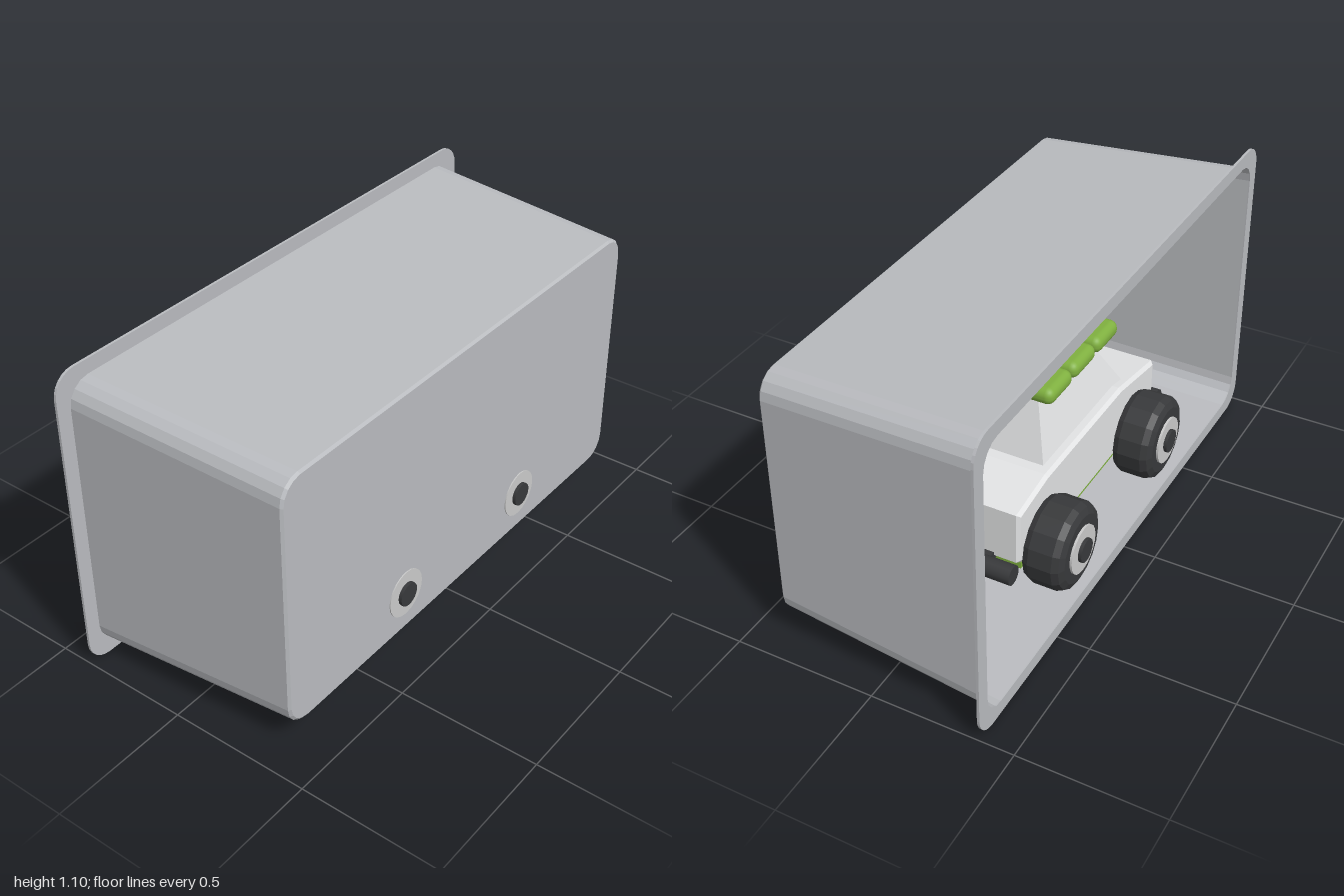
import * as THREE from 'three';
import { RoundedBoxGeometry } from 'three/addons/geometries/RoundedBoxGeometry.js';

const mat = (name, color, side = THREE.FrontSide) => {
  const m = new THREE.MeshStandardMaterial({ color, side });
  m.name = name;
  return m;
};

// rounded rectangle outline, counter-clockwise from the lower right corner
function roundedLoop(hw, hh, r, seg = 4) {
  const pts = [];
  [[1, -1], [1, 1], [-1, 1], [-1, -1]].forEach(([sx, sy], c) => {
    for (let i = 0; i <= seg; i++) {
      const a = (c - 1 + i / seg) * Math.PI / 2;
      pts.push(new THREE.Vector2(sx * (hw - r) + r * Math.cos(a), sy * (hh - r) + r * Math.sin(a)));
    }
  });
  return pts;
}

function faceted(geo) {
  const g = geo.index ? geo.toNonIndexed() : geo;
  g.computeVertexNormals();
  return g;
}

// skin over rounded rectangles [halfWidth, halfHeight, radius, z]
function loft(sections) {
  const pos = [], idx = [];
  let n = 0;
  for (const [hw, hh, r, z] of sections) {
    const loop = roundedLoop(hw, hh, r);
    n = loop.length;
    loop.forEach(p => pos.push(p.x, p.y, z));
  }
  for (let s = 0; s < sections.length - 1; s++) {
    for (let i = 0; i < n; i++) {
      const a = s * n + i, b = s * n + (i + 1) % n;
      idx.push(a, b, a + n, b, b + n, a + n);
    }
  }
  const g = new THREE.BufferGeometry();
  g.setAttribute('position', new THREE.Float32BufferAttribute(pos, 3));
  g.setIndex(idx);
  return faceted(g);
}

export function createModel() {
  const tray = mat('tray grey', 0xb9bbbf, THREE.DoubleSide);
  const paint = mat('body white', 0xe2e3e4);
  const rubber = mat('dark rubber', 0x38393b);
  const rimGrey = mat('rim grey', 0xcacaca);
  const green = mat('leaf green', 0x7fb03f);

  const model = new THREE.Group();
  const add = (parent, name, geo, material, x = 0, y = 0, z = 0) => {
    const m = new THREE.Mesh(geo, material);
    m.name = name;
    m.position.set(x, y, z);
    parent.add(m);
    return m;
  };

  // tapered tray, open at the back
  const box = new THREE.Group();
  box.name = 'tray';
  box.position.y = 0.55;
  model.add(box);
  add(box, 'trayWalls', loft([
    [0.95, 0.5, 0.08, -0.38], [0.908, 0.458, 0.08, 0.376], [0.9, 0.45, 0.075, 0.384],
  ]), tray);
  add(box, 'trayFront', new THREE.ShapeGeometry(new THREE.Shape(roundedLoop(0.9, 0.45, 0.075))), tray, 0, 0, 0.384);
  const rim = new THREE.Shape(roundedLoop(1, 0.55, 0.08, 6));
  rim.holes.push(new THREE.Path(roundedLoop(0.95, 0.5, 0.08).reverse()));
  add(box, 'trayFlange', new THREE.ExtrudeGeometry(rim, { depth: 0.009, bevelEnabled: false }), tray, 0, 0, -0.384);

  // toy car, nose towards -x
  const car = new THREE.Group();
  car.name = 'car';
  model.add(car);

  const b = 0.012;
  const profile = new THREE.Shape([
    [-0.5, 0.25], [-0.44, 0.225], [0.44, 0.225], [0.48, 0.25], [0.48, 0.425],
    [0.3, 0.455], [-0.24, 0.455], [-0.5, 0.41],
  ].map(p => new THREE.Vector2(...p)));
  const bodyGeo = new THREE.ExtrudeGeometry(profile, {
    depth: 0.46, bevelEnabled: true, bevelSize: b, bevelThickness: b, bevelSegments: 1,
  });
  add(car, 'carBody', bodyGeo, paint, 0, 0, -0.23);

  // cabin narrowing to the roof
  const cabin = new THREE.BoxGeometry(0.58, 0.25, 0.42);
  const p = cabin.attributes.position;
  for (let i = 0; i < p.count; i++) {
    if (p.getY(i) > 0) p.setXYZ(i, p.getX(i) * 0.58 + 0.04, p.getY(i), p.getZ(i) * 0.68);
  }
  add(car, 'cabin', faceted(cabin), paint, -0.02, 0.575, 0);

  // three boards across the roof
  for (let i = -1; i <= 1; i++) {
    add(car, 'roofBoard', new RoundedBoxGeometry(0.157, 0.06, 0.47, 3, 0.028), green, 0.025 + i * 0.165, 0.73, 0);
  }

  // underside and bumpers
  add(car, 'chassisPlate', new THREE.BoxGeometry(0.92, 0.025, 0.46), green, 0, 0.207, 0);
  add(car, 'underTray', new THREE.BoxGeometry(0.8, 0.04, 0.22), rubber, 0, 0.18, 0);
  for (const s of [-1, 1]) {
    const bar = new THREE.CylinderGeometry(0.034, 0.034, 0.5, 14).rotateX(Math.PI / 2);
    add(car, s < 0 ? 'frontBumper' : 'rearBumper', bar, rubber, s * 0.545, 0.24, 0);
    add(car, 'bumperMount', new THREE.BoxGeometry(0.08, 0.03, 0.3), rubber, s * 0.5, 0.24, 0);
  }

  // wheels with axles
  const tyreProfile = [
    [0.05, -0.075], [0.12, -0.075], [0.143, -0.064], [0.153, -0.042],
    [0.153, 0.042], [0.143, 0.064], [0.12, 0.075], [0.05, 0.075],
  ].map(q => new THREE.Vector2(...q));
  const tyreGeo = faceted(new THREE.LatheGeometry(tyreProfile, 16).rotateX(Math.PI / 2));
  const disc = (r, d, n) => new THREE.CylinderGeometry(r, r, d, n).rotateX(Math.PI / 2);
  for (const x of [-0.33, 0.33]) {
    add(car, 'axle', disc(0.03, 0.5, 12), rubber, x, 0.24, 0);
    for (const s of [-1, 1]) {
      const wheel = new THREE.Group();
      wheel.name = 'wheel';
      wheel.position.set(x, 0.24, s * 0.305);
      car.add(wheel);
      add(wheel, 'tyre', tyreGeo, rubber);
      add(wheel, 'rim', disc(0.085, 0.166, 20), rimGrey);
      add(wheel, 'hub', disc(0.042, 0.19, 16), rubber);
    }
  }
  return model;
}
